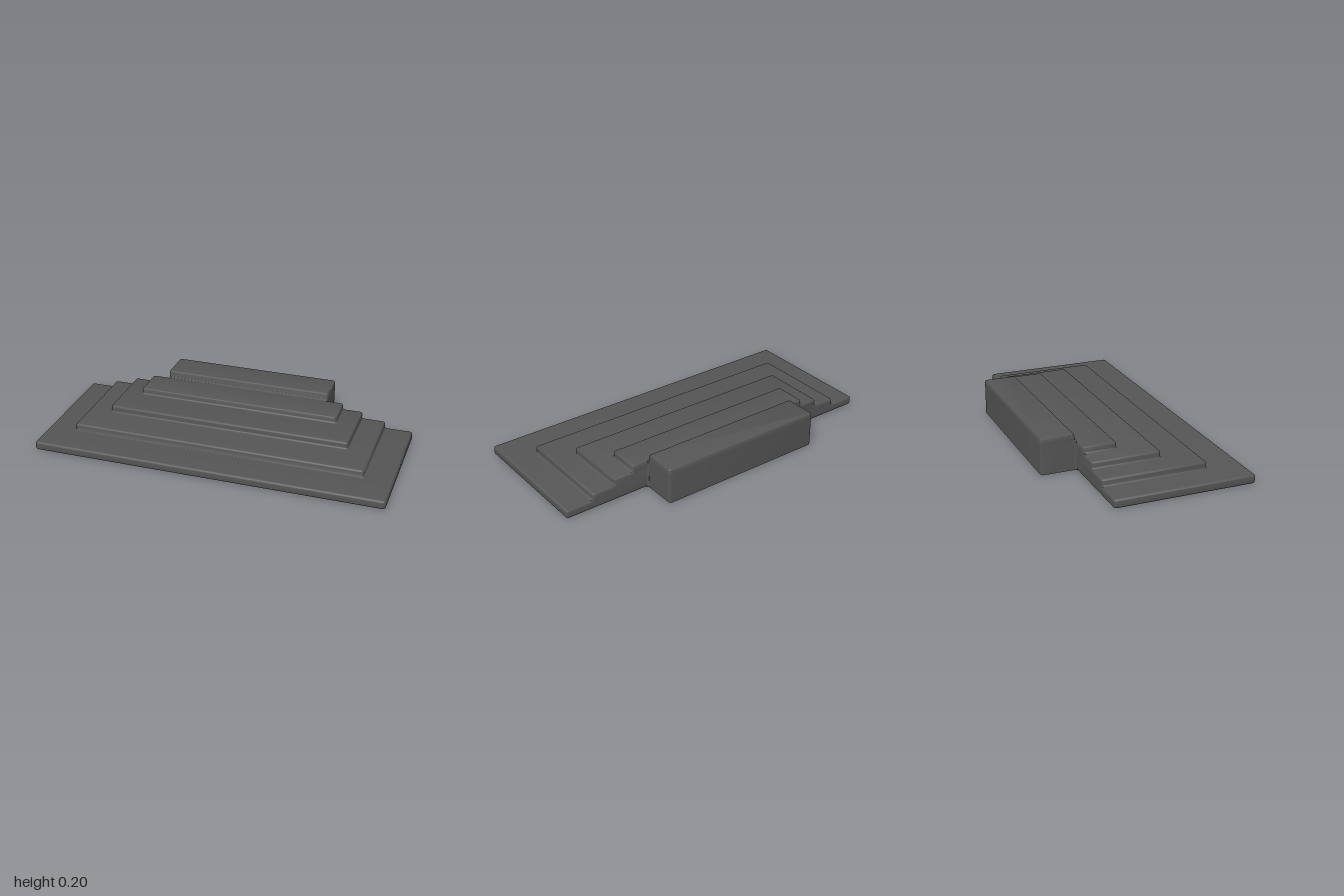
import * as THREE from 'three';
import { toCreasedNormals, mergeVertices } from 'three/addons/utils/BufferGeometryUtils.js';

const ROUND = 0.012; // convex edge radius
const FILLET = 0.01; // concave radius where a step meets the one below
const CORNER = 0.014; // vertical corner radius
const ARC = 4;
const BACK = -0.295; // shared back plane of the steps

const material = new THREE.MeshStandardMaterial({ color: 0x555555 });

// Slab lofted from rounded rectangles; profile is a list of [outward offset, y].
// Flared edges spread outward at the foot, the others stay flush.
function slab(halfWidth, back, front, profile, flareSides) {
  const pos = [], index = [];
  const n = 4 * (ARC + 1);
  for (const [o, y] of profile) {
    const flush = Math.min(o, 0);
    for (let q = 0; q < 4; q++) {
      const sx = q === 0 || q === 3 ? 1 : -1, sz = q < 2 ? 1 : -1;
      const rx = CORNER + (flareSides ? o : flush);
      const rz = CORNER + (sz > 0 ? o : flush);
      const cx = sx * (halfWidth - CORNER);
      const cz = sz > 0 ? front - CORNER : back + CORNER;
      for (let i = 0; i <= ARC; i++) {
        const a = (q + i / ARC) * Math.PI / 2;
        pos.push(cx + rx * Math.cos(a), y, cz + rz * Math.sin(a));
      }
    }
  }
  const last = (profile.length - 1) * n;
  for (let k = 0; k < last; k += n) {
    for (let i = 0; i < n; i++) {
      const a = k + i, b = k + (i + 1) % n;
      index.push(a, a + n, b, b, a + n, b + n);
    }
  }
  for (let i = 1; i < n - 1; i++) {
    index.push(0, i, i + 1, last, last + i + 1, last + i); // bottom and top
  }
  const g = new THREE.BufferGeometry();
  g.setAttribute('position', new THREE.Float32BufferAttribute(pos, 3));
  g.setIndex(index);
  return toCreasedNormals(mergeVertices(g, 1e-5), 0.7);
}

// Rounded top edge, and the matching rounded bottom edge
function roundTop(y) {
  return Array.from({ length: ARC + 1 }, (_, i) => {
    const a = (i / ARC) * Math.PI / 2;
    return [ROUND * (Math.cos(a) - 1), y - ROUND + ROUND * Math.sin(a)];
  });
}
const roundBottom = () => roundTop(0).map(([o, y]) => [o, -y]).reverse();

// Concave foot rising from the surface at height y
function foot(y) {
  return Array.from({ length: ARC + 1 }, (_, i) => {
    const a = (i / ARC) * Math.PI / 2;
    return [FILLET * (1 - Math.sin(a)), y + FILLET * (1 - Math.cos(a))];
  });
}

export function createModel() {
  const group = new THREE.Group();
  const add = (name, geometry) => {
    const mesh = new THREE.Mesh(geometry, material);
    mesh.name = name;
    group.add(mesh);
    return mesh;
  };

  // Wide base slab
  add('baseStep', slab(1, BACK, 0.494, [...roundBottom(), ...roundTop(0.05)], true));

  // Steps narrowing toward the back: half width, front z, foot y, top y
  const steps = [
    [0.84, 0.294, 0.05, 0.09],
    [0.705, 0.094, 0.09, 0.13],
    [0.59, -0.106, 0.13, 0.166],
  ];
  steps.forEach(([w, front, low, top], i) => {
    const profile = [[FILLET, 0.02], ...foot(low), ...roundTop(top)];
    add('step' + (i + 2), slab(w, BACK, front, profile, true));
  });

  // Tall block behind the steps, reaching the ground
  const blockProfile = [[0.03, 0], [0.03, 0.16], ...foot(0.166), ...roundTop(0.205)];
  add('topBlock', slab(0.493, -0.494, -0.302, blockProfile, false));

  // Concave fillets between the block's sides and the steps' back faces
  const corner = new THREE.Shape();
  corner.moveTo(-0.005, -0.005);
  corner.lineTo(-0.005, FILLET);
  corner.lineTo(0, FILLET);
  corner.absarc(FILLET, FILLET, FILLET, Math.PI, Math.PI * 1.5, false);
  corner.lineTo(FILLET, -0.005);
  for (const side of [1, -1]) {
    const g = new THREE.ExtrudeGeometry(corner, { depth: 0.155, bevelEnabled: false, curveSegments: ARC });
    g.rotateX(-Math.PI / 2);
    if (side < 0) g.rotateY(Math.PI / 2).scale(1, 1, 1);
    const mesh = add(side > 0 ? 'leftFillet' : 'rightFillet', toCreasedNormals(g, 0.7));
    mesh.position.set(side * 0.493, 0, BACK);
  }
  return group;
}
